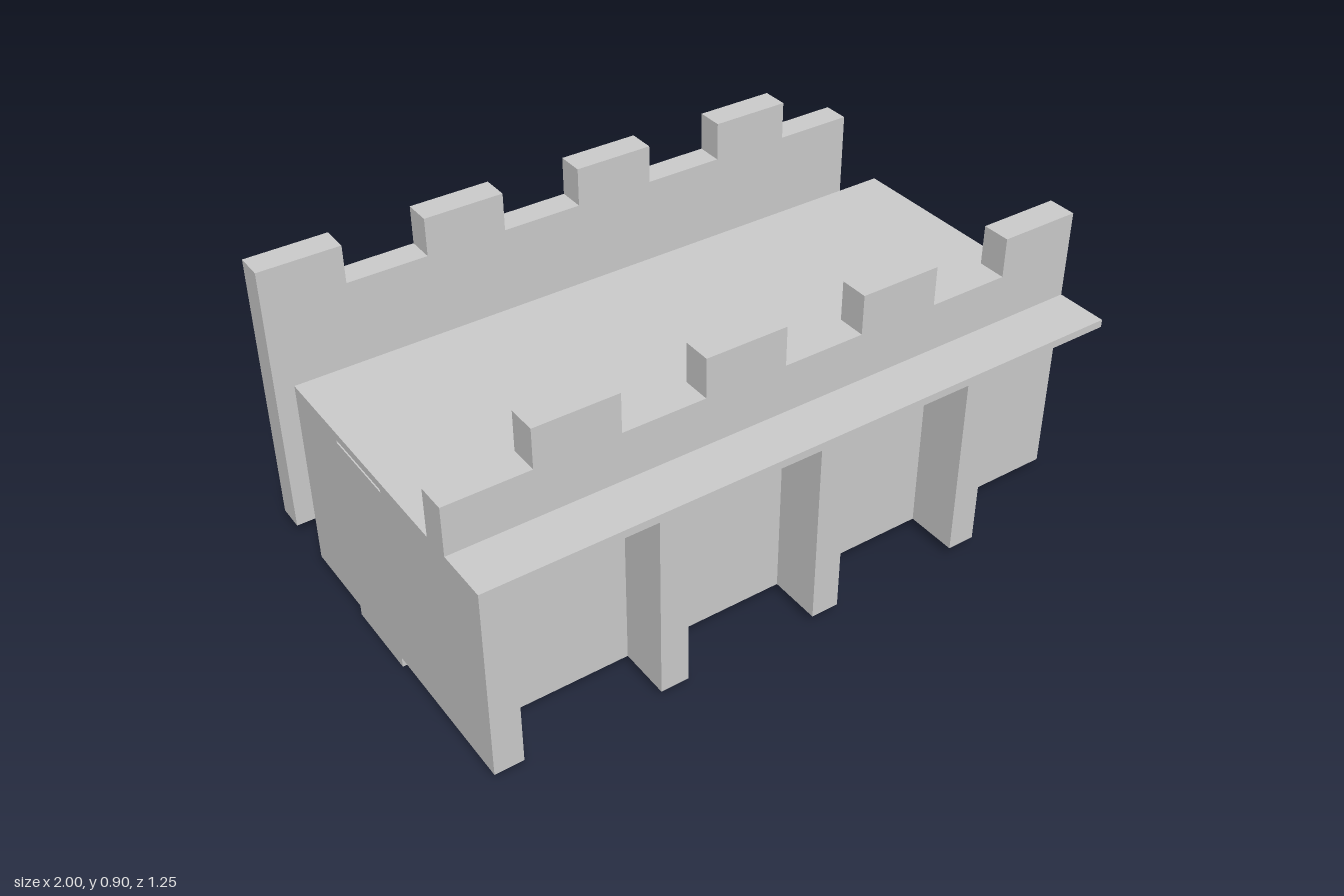
import * as THREE from 'three';

const grey = new THREE.MeshStandardMaterial({ color: 0xcccccc, flatShading: true });

// Box given by its limits along each axis
function block(name, x0, x1, y0, y1, z0, z1) {
  const mesh = new THREE.Mesh(new THREE.BoxGeometry(x1 - x0, y1 - y0, z1 - z0), grey);
  mesh.position.set((x0 + x1) / 2, (y0 + y1) / 2, (z0 + z1) / 2);
  mesh.name = name;
  return mesh;
}

// Wall with four merlons, the first starting at firstMerlon
function battlement(name, firstMerlon, z0, z1) {
  const low = 0.78, high = 0.9, step = 0.25;
  const shape = new THREE.Shape();
  shape.moveTo(-1, 0.033);
  shape.lineTo(1, 0.033);
  for (let i = 7; i >= 0; i--) {
    const x = -1 + i * step;
    const y = (i % 2 === 0) === (firstMerlon === -1) ? high : low;
    shape.lineTo(x + step, y);
    shape.lineTo(x, y);
  }
  const geometry = new THREE.ExtrudeGeometry(shape, { depth: z1 - z0, bevelEnabled: false });
  geometry.translate(0, 0, z0);
  const mesh = new THREE.Mesh(geometry, grey);
  mesh.name = name;
  return mesh;
}

export function createModel() {
  const model = new THREE.Group();
  model.name = 'castleWall';
  const foot = 0.033, under = 0.608, t = 0.086;

  // Crenellated outer walls, with merlons staggered front to back
  model.add(battlement('frontBattlement', -0.75, 0.375, 0.462));
  model.add(battlement('backBattlement', -1, -0.623, -0.538));

  // Walkway: ledge outside the front wall and floor inside it
  model.add(block('walkwayLedge', -1, 1, under, 0.632, 0.462, 0.623));
  model.add(block('walkwayFloor', -1, 1, under, 0.632, -0.373, 0.375));

  // Middle wall, just short of the walkway
  model.add(block('middleWall', -1, 1, 0, 0.6, -0.123, -0.037));

  // Rows of supports under the walkway
  for (const x of [-1, -0.5, 0, 0.5]) {
    model.add(block('frontButtress', x, x + t, foot, under, 0.462, 0.623));
    model.add(block('innerButtress', x, x + t, foot, under, 0.125, 0.375));
    model.add(block('crossWall', x, x + t, 0, 0.6, -0.037, 0.125));
    model.add(block('backButtress', x, x + t, foot, under, -0.373, -0.123));
  }

  // Extra supports near the left end
  model.add(block('endSupportFront', 0.75, 0.75 + t, 0, 0.6, 0.125, 0.375));
  model.add(block('endSupportBack', 0.75, 0.75 + t, 0, 0.6, -0.373, -0.123));

  return model;
}
